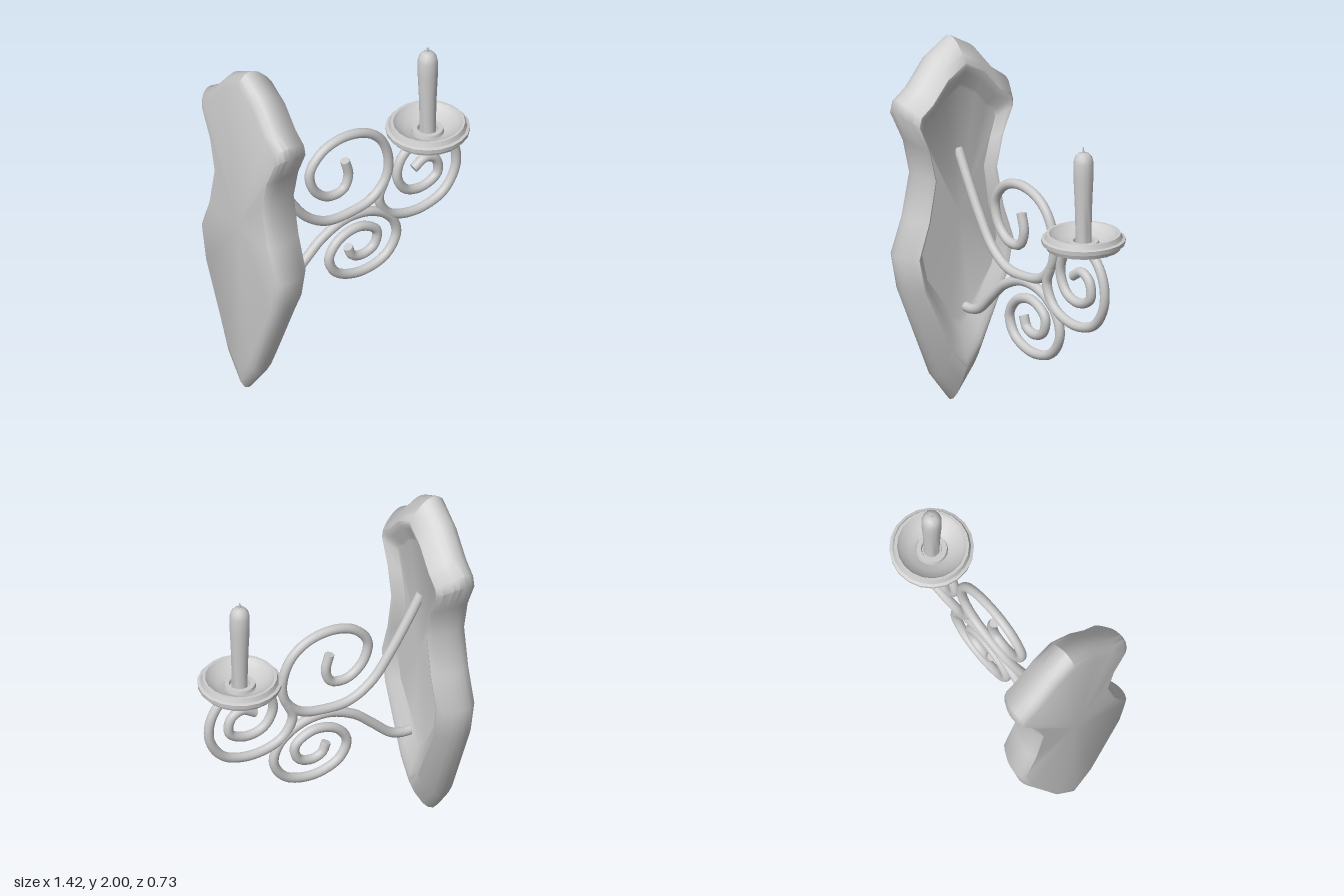
import * as THREE from 'three';
import { toCreasedNormals } from 'three/addons/utils/BufferGeometryUtils.js';

const material = new THREE.MeshStandardMaterial({ color: 0xcccccc });

function addMesh(parent, name, geometry) {
  const mesh = new THREE.Mesh(geometry, material);
  mesh.name = name;
  parent.add(mesh);
  return mesh;
}

// Half outline of the wall plate: outer z, y and matching recess z, y
const PLATE = [
  [0, 2, 0, 1.74], [0.137, 1.92, 0.1, 1.68], [0.26, 1.775, 0.17, 1.6],
  [0.35, 1.71, 0.225, 1.56], [0.365, 1.65, 0.235, 1.52], [0.275, 1.47, 0.2, 1.42],
  [0.233, 1.28, 0.16, 1.27], [0.286, 1.05, 0.19, 1.06], [0.36, 0.86, 0.245, 0.87],
  [0.32, 0.655, 0.21, 0.72], [0.116, 0.15, 0.07, 0.53], [0, 0, 0, 0.47],
];

// Rings from the recess floor, over the rim, to the back: x, blend towards the recess
const RINGS = [
  [-0.56, 1], [-0.55, 0.92], [-0.515, 0.66], [-0.502, 0.54], [-0.5, 0.45], [-0.53, 0.29],
  [-0.58, 0.1], [-0.61, 0.03], [-0.64, 0], [-0.67, 0.03], [-0.695, 0.12], [-0.71, 0.28],
];

function plateGeometry() {
  const mirrored = PLATE.slice(1, -1).reverse().map(([z, y, fz, fy]) => [-z, y, -fz, fy]);
  const loop = [...PLATE, ...mirrored];
  const n = loop.length;
  const rings = RINGS.map(([x, t]) => loop.map(([z, y, fz, fy]) =>
    [x, y + (fy - y) * t, z + (fz - z) * t]));
  const positions = [];
  const tri = (...corners) => corners.forEach((c) => positions.push(...c));
  const front = [RINGS[0][0], 1.05, 0];
  const back = [RINGS[RINGS.length - 1][0], 1.05, 0];
  for (let i = 0; i < n; i++) {
    const k = (i + 1) % n;
    tri(front, rings[0][i], rings[0][k]);
    for (let j = 0; j < rings.length - 1; j++) {
      const a = rings[j], b = rings[j + 1];
      tri(a[i], b[i], a[k]);
      tri(a[k], b[i], b[k]);
    }
    const last = rings[rings.length - 1];
    tri(back, last[k], last[i]);
  }
  const g = new THREE.BufferGeometry();
  g.setAttribute('position', new THREE.Float32BufferAttribute(positions, 3));
  return toCreasedNormals(g, 0.75);
}

// Round iron bar along a flat curve, with closed ends
function addScroll(parent, name, points) {
  const group = new THREE.Group();
  group.name = name;
  const radius = 0.026;
  const curve = new THREE.CatmullRomCurve3(points.map(([x, y]) => new THREE.Vector3(x, y, 0)));
  addMesh(group, name + 'Bar', new THREE.TubeGeometry(curve, 110, radius, 12));
  for (const t of [0, 1]) {
    const cap = addMesh(group, name + 'End', new THREE.CircleGeometry(radius, 12));
    const direction = curve.getTangentAt(t).multiplyScalar(t ? 1 : -1);
    cap.position.copy(curve.getPointAt(t));
    cap.quaternion.setFromUnitVectors(new THREE.Vector3(0, 0, 1), direction);
  }
  parent.add(group);
}

function lathe(profile, sides, crease) {
  const points = profile.map(([r, y]) => new THREE.Vector2(r, y));
  return toCreasedNormals(new THREE.LatheGeometry(points, sides), crease);
}

export function createModel() {
  const model = new THREE.Group();
  model.name = 'wallCandleHolder';

  addMesh(model, 'wallPlate', plateGeometry());

  // Three scrolls of the bracket
  addScroll(model, 'upperScroll', [
    [-0.57, 1.4], [-0.505, 1.28], [-0.39, 1.085], [-0.28, 0.935], [-0.15, 0.855], [0.01, 0.85],
    [0.14, 0.885], [0.225, 0.98], [0.24, 1.1], [0.19, 1.235], [0.09, 1.315], [-0.055, 1.34],
    [-0.18, 1.3], [-0.257, 1.2], [-0.23, 1.08], [-0.14, 1.005], [-0.045, 1.015],
    [-0.013, 1.09], [-0.035, 1.19],
  ]);
  addScroll(model, 'lowerScroll', [
    [-0.505, 0.547], [-0.46, 0.547], [-0.39, 0.57], [-0.28, 0.67], [-0.175, 0.76], [-0.02, 0.82],
    [0.14, 0.8], [0.26, 0.71], [0.29, 0.6], [0.22, 0.49], [0.06, 0.45], [-0.09, 0.505],
    [-0.135, 0.61], [-0.07, 0.705], [0.06, 0.735], [0.165, 0.67], [0.15, 0.585],
    [0.075, 0.553], [0.01, 0.575], [-0.015, 0.635],
  ]);
  addScroll(model, 'candleScroll', [
    [0.215, 0.96], [0.18, 0.865], [0.23, 0.76], [0.325, 0.71], [0.46, 0.7], [0.59, 0.75],
    [0.665, 0.875], [0.655, 1.01], [0.58, 1.11], [0.46, 1.135], [0.335, 1.075], [0.295, 0.96],
    [0.35, 0.855], [0.457, 0.83], [0.55, 0.88], [0.54, 0.97], [0.475, 1.005], [0.4, 0.965],
  ]);

  // Drip dish, candle and wick share one axis
  const holder = new THREE.Group();
  holder.name = 'candleHolder';
  holder.position.x = 0.49;
  model.add(holder);
  addMesh(holder, 'dripDish', lathe([
    [0, 1.145], [0.195, 1.145], [0.205, 1.17], [0.218, 1.172], [0.22, 1.195], [0.205, 1.2],
    [0.195, 1.225], [0.18, 1.225], [0.165, 1.205], [0.12, 1.18], [0.085, 1.165],
    [0.08, 1.185], [0.055, 1.185], [0.05, 1.165], [0, 1.165],
  ], 20, 0.6));
  addMesh(holder, 'candle', lathe([
    [0, 1.165], [0.042, 1.165], [0.043, 1.25], [0.047, 1.4], [0.053, 1.53], [0.053, 1.61],
    [0.046, 1.64], [0.03, 1.66], [0, 1.667],
  ], 14, 1));
  const wick = addMesh(holder, 'wick', new THREE.CylinderGeometry(0.004, 0.005, 0.04, 6));
  wick.position.y = 1.675;
  wick.rotation.z = 0.1;

  return model;
}
